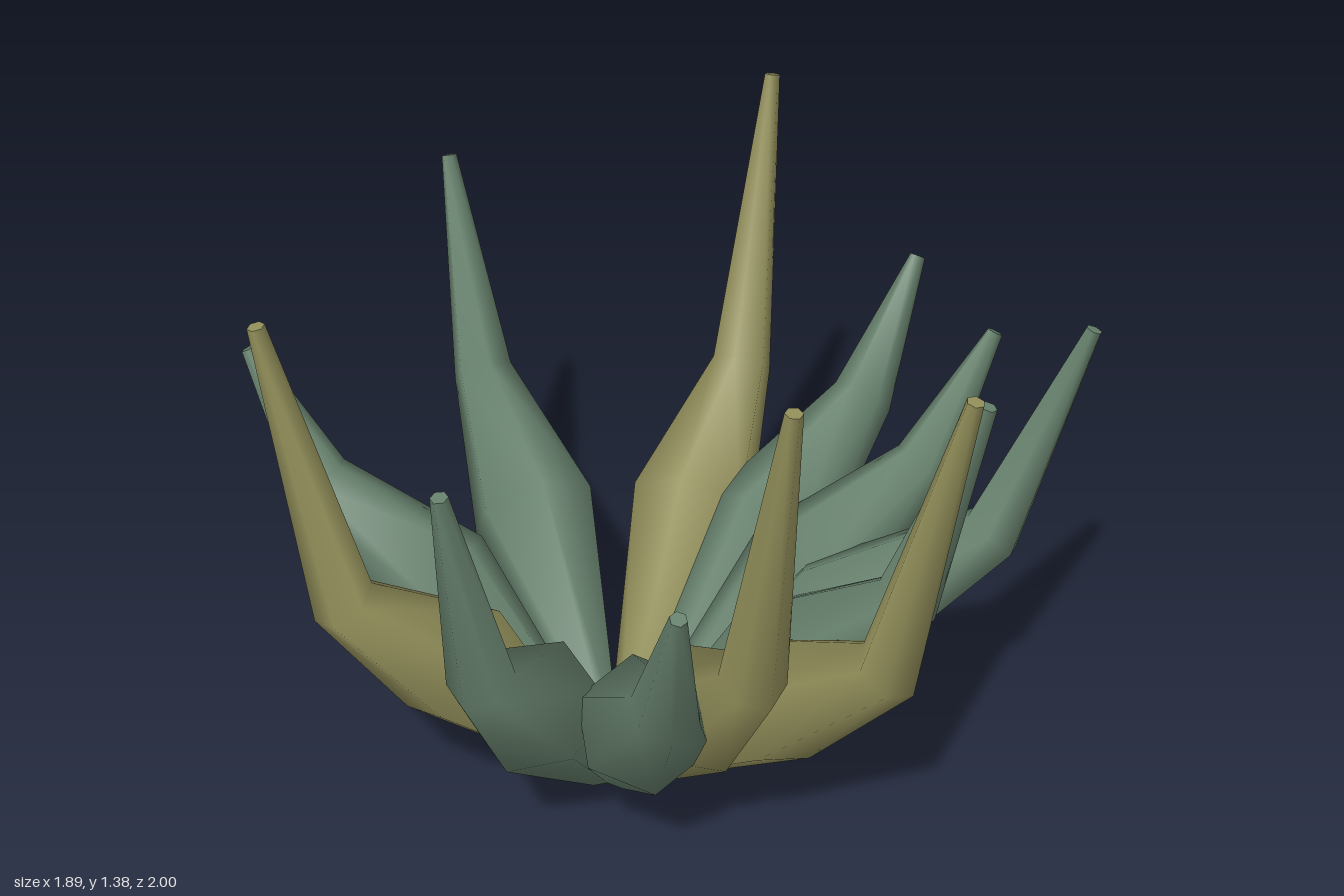
import * as THREE from 'three';

const SIDES = 6;
const CENTER = new THREE.Vector2(-0.28, 0.06); // x, z of the root

// Six-sided, bent, tapering leaf running along +x from the root, closed at both ends
function leafGeometry(length, height) {
  const start = 0.065;
  const span = length - start;
  const spine = [
    [start, 0.04],
    [start + 0.46 * span, 0.425],
    [start + 0.81 * span, 0.64],
    [length, height],
  ].map(([x, y]) => new THREE.Vector2(x, y));
  const radii = [0.04, 0.165, 0.08, 0.02];
  const positions = [];
  const indices = [];

  const rings = spine.map((p, i) => {
    // Ring plane bisects the neighbouring segments
    const tangent = new THREE.Vector2();
    if (i > 0) tangent.add(p.clone().sub(spine[i - 1]).normalize());
    if (i < spine.length - 1) tangent.add(spine[i + 1].clone().sub(p).normalize());
    tangent.normalize();
    return Array.from({ length: SIDES }, (_, j) => {
      const a = (j / SIDES) * Math.PI * 2;
      const up = Math.cos(a) * radii[i];
      return [p.x - tangent.y * up, p.y + tangent.x * up, Math.sin(a) * radii[i]];
    });
  });

  // Side faces
  rings.forEach((ring) => ring.forEach((v) => positions.push(...v)));
  for (let i = 0; i < rings.length - 1; i++) {
    for (let j = 0; j < SIDES; j++) {
      const k = (j + 1) % SIDES;
      const a = i * SIDES + j, b = i * SIDES + k;
      indices.push(a, b, a + SIDES, b, b + SIDES, a + SIDES);
    }
  }
  // End caps with their own vertices, so their edges stay sharp
  for (const [ring, isTip] of [[rings[0], false], [rings[rings.length - 1], true]]) {
    const first = positions.length / 3;
    ring.forEach((v) => positions.push(...v));
    for (let j = 1; j < SIDES - 1; j++) {
      if (isTip) indices.push(first, first + j, first + j + 1);
      else indices.push(first, first + j + 1, first + j);
    }
  }

  const geometry = new THREE.BufferGeometry();
  geometry.setAttribute('position', new THREE.Float32BufferAttribute(positions, 3));
  geometry.setIndex(indices);
  geometry.computeVertexNormals();
  return geometry;
}

export function createModel() {
  const group = new THREE.Group();
  group.name = 'succulentPlant';

  const green = new THREE.MeshStandardMaterial({ color: 0x66806c });
  green.name = 'leafGreen';
  const olive = new THREE.MeshStandardMaterial({ color: 0x928f5a });
  olive.name = 'leafOlive';

  // Leaf tips: x, z, height, material
  const leaves = [
    [-0.54, -0.89, 0.97, green],
    [0.25, -0.98, 1.18, green],
    [0.84, -0.375, 1.385, olive],
    [0.925, 0.055, 0.97, green],
    [0.72, 0.44, 0.97, green],
    [0.555, 0.81, 1.18, green],
    [0.11, 0.825, 1.18, green],
    [-0.185, 0.98, 1.385, olive],
    [-0.46, 0.73, 1.385, olive],
    [-0.71, 0.64, 0.97, green],
    [-0.93, 0.18, 1.18, green],
    [-0.93, -0.36, 1.385, olive],
  ];

  leaves.forEach(([x, z, height, material], i) => {
    const dx = x - CENTER.x, dz = z - CENTER.y;
    const leaf = new THREE.Mesh(leafGeometry(Math.hypot(dx, dz), height), material);
    leaf.name = `leaf${i + 1}`;
    leaf.position.set(CENTER.x, 0, CENTER.y);
    leaf.rotation.y = Math.atan2(-dz, dx);
    group.add(leaf);
  });

  return group;
}
